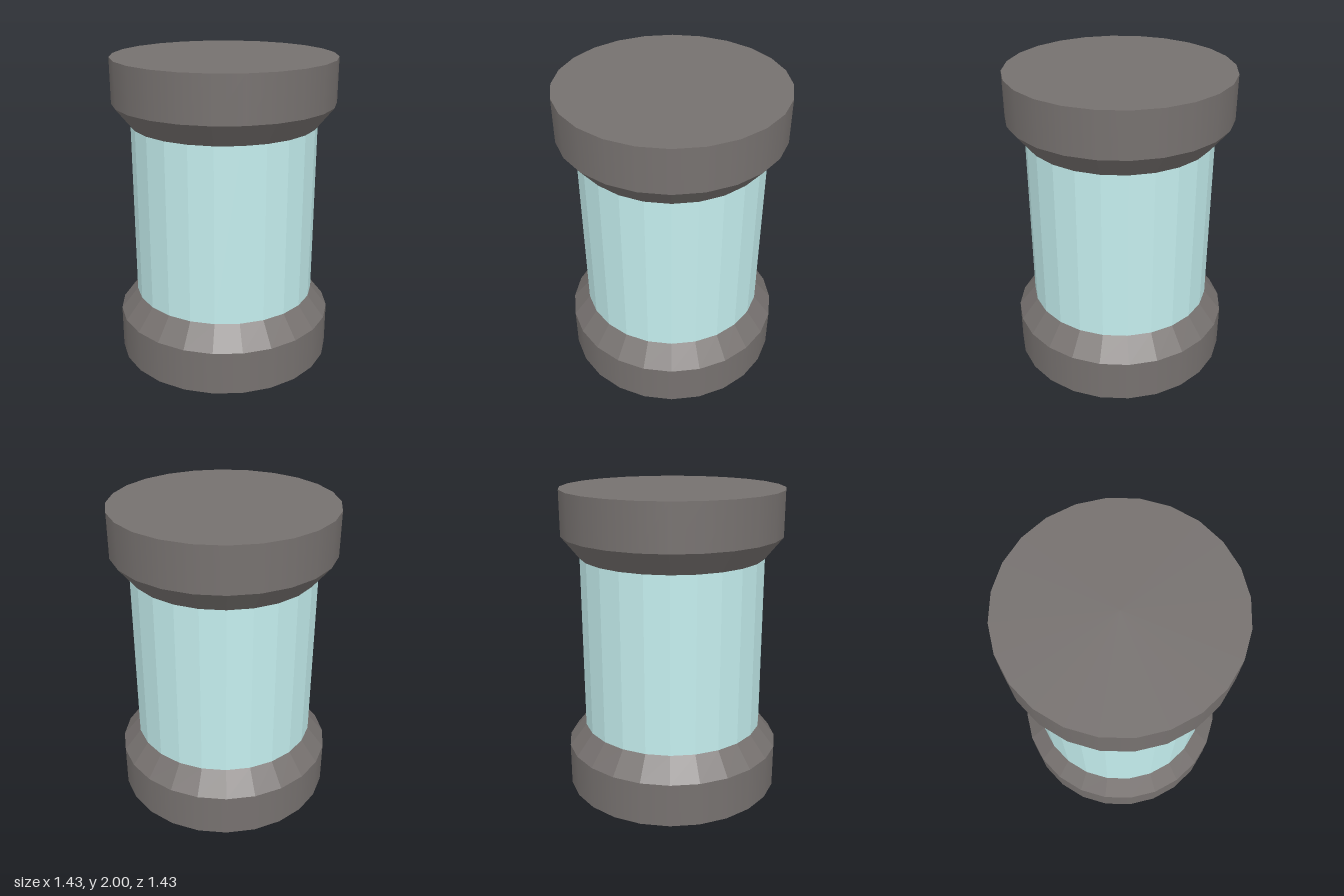
import * as THREE from 'three';

const SIDES = 24;
const RIM_R = 0.714, GLASS_R = 0.6;
const RIM_H = 0.286, COLLAR_H = 0.143, HEIGHT = 2;

export function createModel() {
  const group = new THREE.Group();
  group.name = 'canister';

  const metal = new THREE.MeshStandardMaterial({ color: 0x76716f });
  const metalFaceted = new THREE.MeshStandardMaterial({ color: 0x76716f, flatShading: true });
  const glass = new THREE.MeshStandardMaterial({ color: 0xc4eeee, flatShading: true });

  // Upright cylinder or cone section starting at height y
  const section = (name, rTop, rBottom, h, y, material, open) => {
    const geometry = new THREE.CylinderGeometry(rTop, rBottom, h, SIDES, 1, open);
    const mesh = new THREE.Mesh(geometry, material);
    mesh.name = name;
    mesh.position.y = y + h / 2;
    group.add(mesh);
  };

  // Base disc and its tapering collar
  section('baseRim', RIM_R, RIM_R, RIM_H, 0, metal, false);
  section('baseCollar', GLASS_R, RIM_R, COLLAR_H, RIM_H, metalFaceted, true);

  // Faceted tube between the collars
  const foot = RIM_H + COLLAR_H;
  section('glassTube', GLASS_R, GLASS_R, HEIGHT - 2 * foot, foot, glass, true);

  // Lid, mirroring the base
  section('lidCollar', RIM_R, GLASS_R, COLLAR_H, HEIGHT - foot, metalFaceted, true);
  section('lidRim', RIM_R, RIM_R, RIM_H, HEIGHT - RIM_H, metal, false);

  return group;
}
